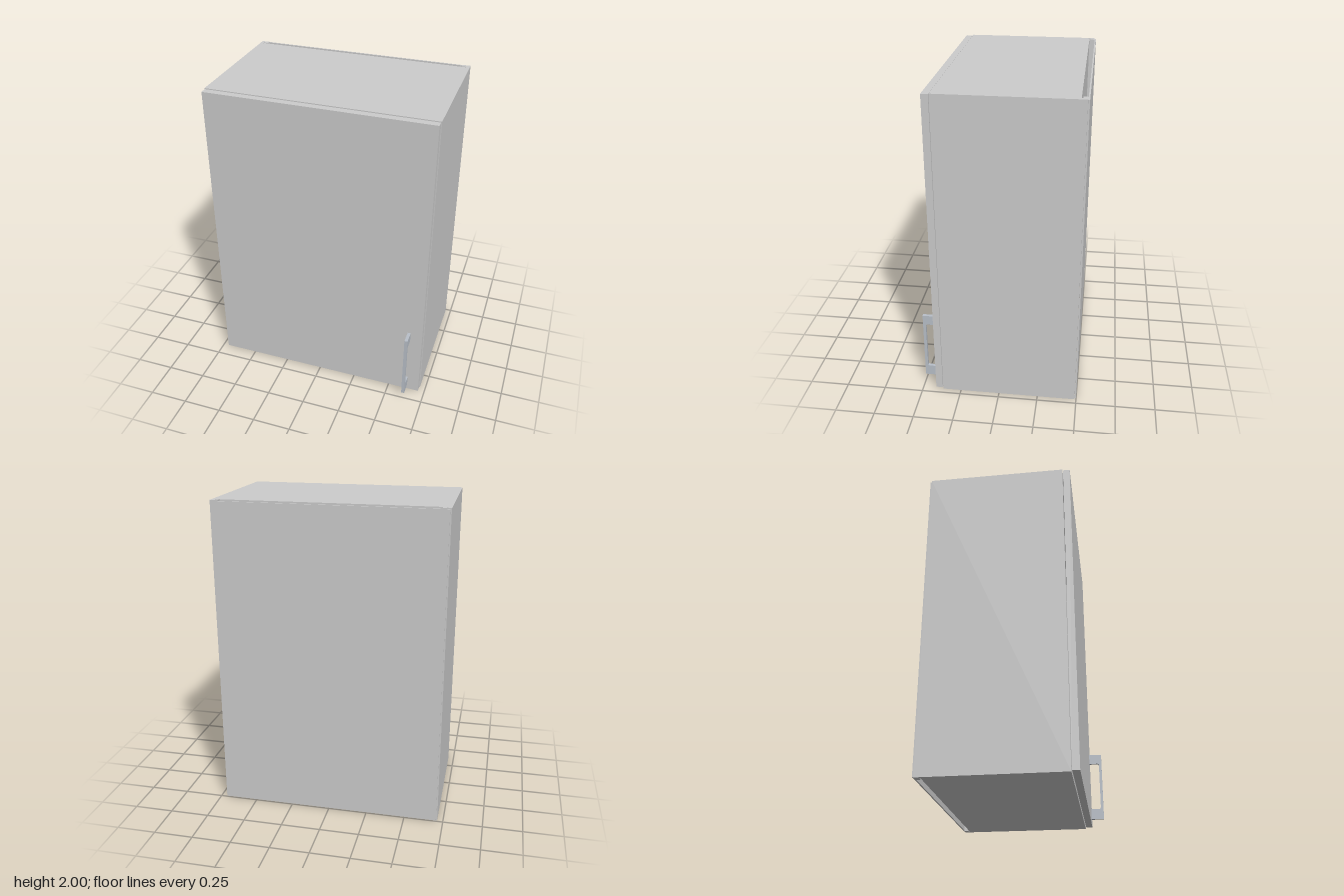
import * as THREE from 'three';

const grey = new THREE.MeshStandardMaterial({ color: 0xcccccc });
const metal = new THREE.MeshStandardMaterial({ color: 0xb8bfc8 });

// Box given by its min and max corners
function panel(name, [x0, y0, z0], [x1, y1, z1]) {
  const geo = new THREE.BoxGeometry(x1 - x0, y1 - y0, z1 - z0);
  geo.translate((x0 + x1) / 2, (y0 + y1) / 2, (z0 + z1) / 2);
  const mesh = new THREE.Mesh(geo, grey);
  mesh.name = name;
  return mesh;
}

// Upright side panel with a groove for the inner back; side is +1 or -1
function sidePanel(name, side) {
  const plan = [
    [0.713, -0.49], [0.713, 0.368], [0.668, 0.368], [0.668, -0.445],
    [0.69, -0.445], [0.69, -0.463], [0.662, -0.463], [0.662, -0.49],
  ];
  const shape = new THREE.Shape(plan.map(([x, z]) => new THREE.Vector2(side * x, -z)));
  const geo = new THREE.ExtrudeGeometry(shape, { depth: 2, bevelEnabled: false });
  geo.rotateX(-Math.PI / 2);
  const mesh = new THREE.Mesh(geo, grey);
  mesh.name = name;
  return mesh;
}

// Flat bow handle: side outline with a round-cornered opening
function handle() {
  const z0 = 0.415, z1 = 0.5, y0 = 0.045, y1 = 0.505;
  const zi = 0.482, ya = 0.115, yb = 0.44, r = 0.014;
  const s = new THREE.Shape();
  s.moveTo(z0, y0);
  s.lineTo(z1, y0);
  s.lineTo(z1, y1);
  s.lineTo(z0, y1);
  s.lineTo(z0, yb);
  s.lineTo(zi - r, yb);
  s.quadraticCurveTo(zi, yb, zi, yb - r);
  s.lineTo(zi, ya + r);
  s.quadraticCurveTo(zi, ya, zi - r, ya);
  s.lineTo(z0, ya);
  s.closePath();
  const geo = new THREE.ExtrudeGeometry(s, { depth: 0.02, bevelEnabled: false, curveSegments: 6 });
  geo.rotateY(-Math.PI / 2); // outline x becomes z, thickness runs along -x
  geo.translate(0.632, 0, 0);
  const mesh = new THREE.Mesh(geo, metal);
  mesh.name = 'handle';
  return mesh;
}

export function createModel() {
  const model = new THREE.Group();
  model.name = 'wallCabinet';

  // Carcass
  model.add(sidePanel('leftSide', 1), sidePanel('rightSide', -1));
  for (const [name, y] of [['bottomPanel', 0], ['topPanel', 1.955]]) {
    model.add(panel(name, [-0.668, y, -0.445], [0.668, y + 0.045, 0.368]));
  }

  // Grooved inner back, and thin outer back behind the open gap
  model.add(panel('innerBack', [-0.688, 0, -0.455], [0.688, 2, -0.445]));
  model.add(panel('outerBack', [-0.705, 0.005, -0.5], [0.705, 1.995, -0.491]));

  // Door, slightly smaller than the carcass, with its handle
  model.add(panel('door', [-0.709, 0.008, 0.372], [0.709, 1.996, 0.415]));
  model.add(handle());

  return model;
}
